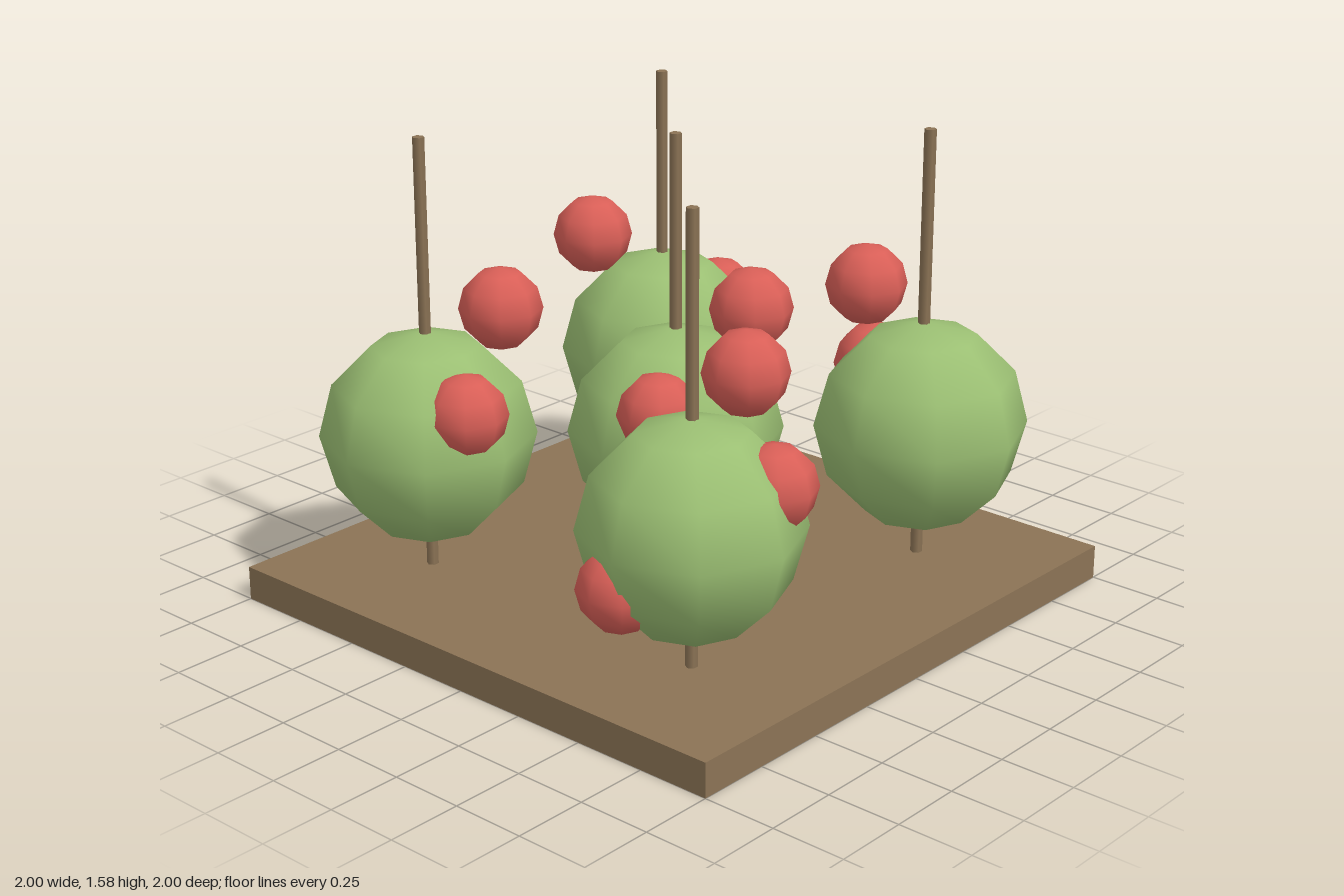
import * as THREE from 'three';

const brown = new THREE.MeshStandardMaterial({ name: 'brown wood', color: 0x8b7355 });
const green = new THREE.MeshStandardMaterial({ name: 'leaf green', color: 0x9bbf73 });
const red = new THREE.MeshStandardMaterial({ name: 'fruit red', color: 0xd95f57 });

const BASE_HEIGHT = 0.115;
const STEM_HEIGHT = 1.575;
const FRUIT_ORBIT = 0.245;
const FRUIT_LEVELS = [0.432, 0.718, 1.003];

// Position of each tree and the compass angles of its low, middle and top fruit
const TREES = [
  { x: 0, z: 0, angles: [-71, 61, -33.5] },
  { x: -0.571, z: -0.571, angles: [0, -76, 129] },
  { x: 0.571, z: -0.571, angles: [185, 193, 182] },
  { x: -0.571, z: 0.571, angles: [-82, 13, -46] },
  { x: 0.571, z: 0.571, angles: [108.6, -36, -90] },
];

function addMesh(parent, name, geometry, material, x, y, z) {
  const mesh = new THREE.Mesh(geometry, material);
  mesh.name = name;
  mesh.position.set(x, y, z);
  parent.add(mesh);
  return mesh;
}

export function createModel() {
  const model = new THREE.Group();
  model.name = 'orchard';

  // Square ground slab
  addMesh(model, 'base', new THREE.BoxGeometry(2, BASE_HEIGHT, 2), brown, 0, BASE_HEIGHT / 2, 0);

  const stemGeometry = new THREE.CylinderGeometry(0.02, 0.02, STEM_HEIGHT, 6);
  const crownGeometry = new THREE.SphereGeometry(0.355, 8, 6);
  const fruitGeometry = new THREE.SphereGeometry(0.137, 8, 6);

  // Each tree: a stem through a round crown, with three fruits around it
  for (const { x, z, angles } of TREES) {
    const tree = new THREE.Group();
    tree.name = 'tree';
    tree.position.set(x, 0, z);
    addMesh(tree, 'stem', stemGeometry, brown, 0, STEM_HEIGHT / 2, 0);
    addMesh(tree, 'crown', crownGeometry, green, 0, 0.575, 0);
    angles.forEach((degrees, i) => {
      const a = THREE.MathUtils.degToRad(degrees);
      addMesh(tree, 'fruit', fruitGeometry, red,
        FRUIT_ORBIT * Math.cos(a), FRUIT_LEVELS[i], FRUIT_ORBIT * Math.sin(a));
    });
    model.add(tree);
  }
  return model;
}
